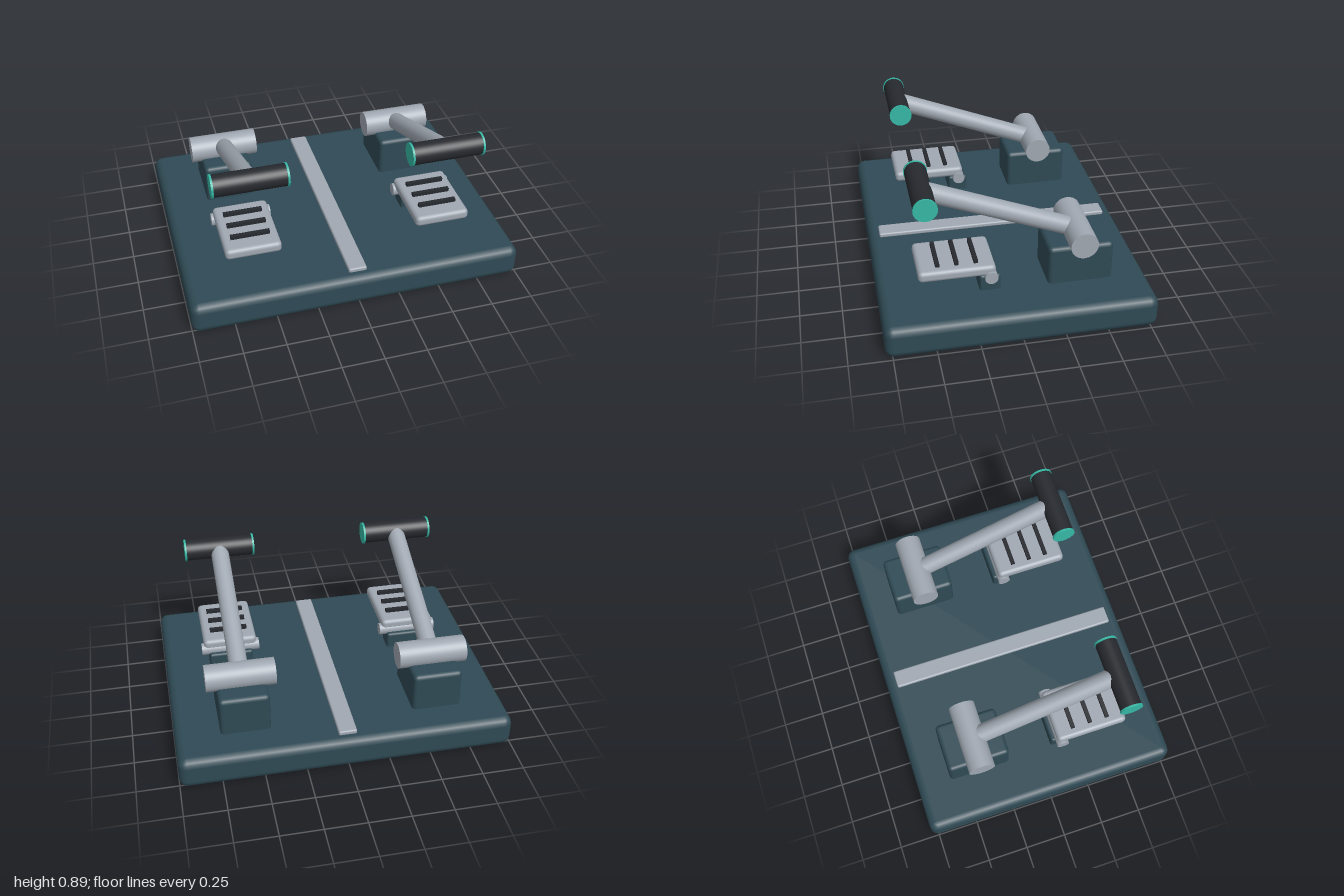
import * as THREE from 'three';
import { RoundedBoxGeometry } from 'three/addons/geometries/RoundedBoxGeometry.js';

const paint = (color) => new THREE.MeshStandardMaterial({ color });
const slate = paint(0x2f4a55);
const steel = paint(0xa0a8b2);
const rubber = paint(0x26292e);
const teal = paint(0x35b8a5);

function add(parent, name, geometry, material, x, y, z) {
  const mesh = new THREE.Mesh(geometry, material);
  mesh.name = name;
  mesh.position.set(x, y, z);
  parent.add(mesh);
  return mesh;
}

const block = (w, h, d, r) => new RoundedBoxGeometry(w, h, d, 2, r);

// Cylinder lying along x
const bar = (r, length) => new THREE.CylinderGeometry(r, r, length, 40).rotateZ(Math.PI / 2);

// One station: a hinged lever with a cross grip above a foot pedal
function createStation() {
  const station = new THREE.Group();

  // Lever mount and its hinge barrel
  const hinge = new THREE.Vector3(0, 0.473, -0.387);
  const grip = new THREE.Vector3(0, 0.825, 0.517);
  add(station, 'leverMount', block(0.3, 0.265, 0.385, 0.025), slate, 0, 0.3035, -0.387);
  add(station, 'hingeBarrel', bar(0.081, 0.416), steel, hinge.x, hinge.y, hinge.z);

  // Slanted arm from hinge to grip
  const span = grip.clone().sub(hinge);
  const middle = hinge.clone().addScaledVector(span, 0.5);
  const arm = add(station, 'leverArm', new THREE.CylinderGeometry(0.056, 0.056, span.length(), 32),
    steel, middle.x, middle.y, middle.z);
  arm.quaternion.setFromUnitVectors(new THREE.Vector3(0, 1, 0), span.clone().normalize());

  // Grip with an end cap on each side
  add(station, 'grip', bar(0.065, 0.425), rubber, grip.x, grip.y, grip.z);
  for (const side of [-1, 1]) {
    add(station, 'gripCap', bar(0.069, 0.012), teal, side * 0.215, grip.y, grip.z);
  }

  // Pedal mount, pivot rod and plate
  add(station, 'pedalMount', block(0.275, 0.115, 0.124, 0.015), slate, 0, 0.2375, 0.147);
  add(station, 'pedalPivot', bar(0.038, 0.365), steel, 0, 0.305, 0.147);
  add(station, 'pedalPlate', block(0.335, 0.068, 0.448, 0.025), steel, 0, 0.344, 0.341);

  // Raised treads
  for (const z of [0.228, 0.339, 0.45]) {
    add(station, 'pedalTread', new THREE.BoxGeometry(0.235, 0.03, 0.024), rubber, 0, 0.385, z);
  }
  return station;
}

export function createModel() {
  const model = new THREE.Group();
  model.name = 'leverPedalStation';

  add(model, 'base', block(2, 0.196, 1.58, 0.05), slate, 0, 0.098, 0);
  add(model, 'centreStrip', block(0.11, 0.03, 1.45, 0.01), steel, 0, 0.207, 0);

  for (const side of [-1, 1]) {
    const station = createStation();
    station.name = side > 0 ? 'leftStation' : 'rightStation';
    station.position.x = side * 0.581;
    model.add(station);
  }
  return model;
}
